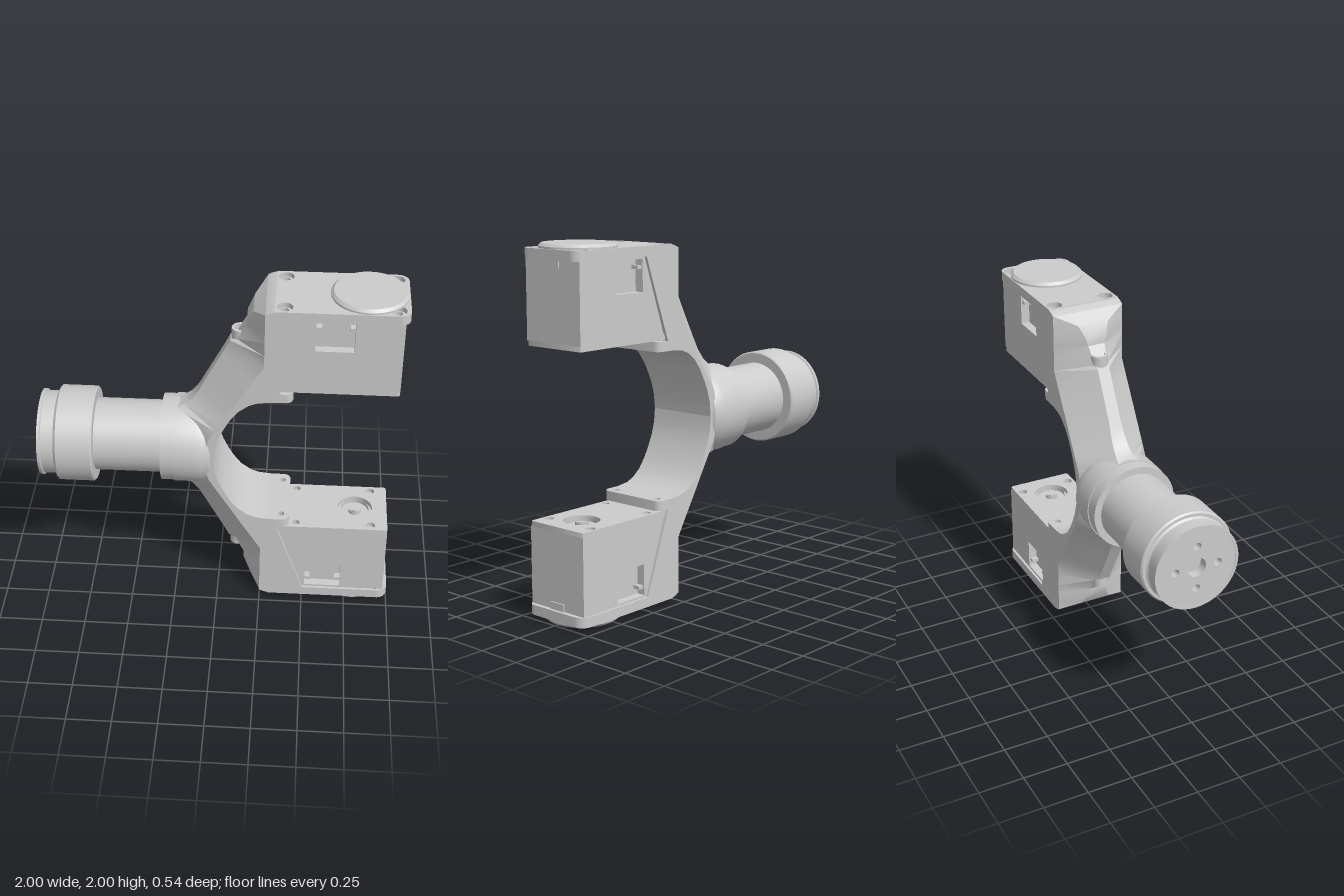
import * as THREE from 'three';
import { toCreasedNormals } from 'three/addons/utils/BufferGeometryUtils.js';

const material = new THREE.MeshStandardMaterial({ color: 0xcccccc });

function mesh(name, geometry, parent, crease = 0.5) {
  const m = new THREE.Mesh(toCreasedNormals(geometry, crease), material);
  m.name = name;
  parent.add(m);
  return m;
}

const outline = (pts) => new THREE.Shape(pts.map(([x, y]) => new THREE.Vector2(x, y)));
const hole = (x, y, r) => new THREE.Path().absarc(x, y, r, 0, Math.PI * 2, true);
const extrude = (shape, depth, z = 0) =>
  new THREE.ExtrudeGeometry(shape, { depth, bevelEnabled: false, curveSegments: 24 }).translate(0, 0, z);

// Flat plate drawn in plan and raised from y0
const plate = (shape, y0, height) => extrude(shape, height).rotateX(-Math.PI / 2).translate(0, y0, 0);

// Plan rectangle with rounded corners on the +x end only
function tongue(x0, x1, hz, r) {
  const s = new THREE.Shape();
  s.moveTo(x0, -hz);
  s.lineTo(x1 - r, -hz);
  s.absarc(x1 - r, -hz + r, r, -Math.PI / 2, 0, false);
  s.absarc(x1 - r, hz - r, r, 0, Math.PI / 2, false);
  s.lineTo(x0, hz);
  s.closePath();
  return s;
}

const lathe = (pts, segments = 64) =>
  new THREE.LatheGeometry(pts.map(([r, y]) => new THREE.Vector2(r, y)), segments);

// Arm stations: ridge x, y, half width | shoulder x, y | inner arch x, y
const stations = [
  [-0.24, 1.0, 0.06, -0.06, 1.0, -0.02, 1.0],
  [-0.24, 1.15, 0.06, -0.06, 1.09, -0.012, 1.08],
  [-0.24, 1.24, 0.06, -0.045, 1.14, 0.008, 1.15],
  [-0.19, 1.262, 0.05, -0.01, 1.2, 0.035, 1.21],
  [-0.15, 1.295, 0.045, 0.02, 1.25, 0.07, 1.275],
  [-0.11, 1.35, 0.04, 0.06, 1.315, 0.115, 1.335],
  [-0.07, 1.43, 0.035, 0.11, 1.4, 0.17, 1.378],
  [0.02, 1.6, 0.035, 0.19, 1.53, 0.22, 1.398],
  [0.06, 1.68, 0.035, 0.25, 1.63, 0.28, 1.405],
  [0.09, 1.697, 0.035, 0.25, 1.7, 0.28, 1.6],
  [0.147, 1.79, 0.05, 0.25, 1.78, 0.28, 1.75],
  [0.15, 1.83, 0.06, 0.25, 1.84, 0.28, 1.84],
  [0.185, 1.9, 0.09, 0.25, 1.9, 0.28, 1.9],
  [0.25, 1.953, 0.205, 0.251, 1.953, 0.28, 1.953],
];

function armGeometry() {
  const pos = [], index = [], n = 6;
  for (const [ox, oy, w, mx, my, ix, iy] of stations) {
    pos.push(ox, oy, w, mx, my, 0.21, ix, iy, 0.21);
    pos.push(ix, iy, -0.21, mx, my, -0.21, ox, oy, -w);
  }
  for (let k = 0; k < stations.length - 1; k++) {
    for (let i = 0; i < n; i++) {
      const a = k * n + i, b = k * n + (i + 1) % n;
      index.push(a, b, b + n, a, b + n, a + n);
    }
  }
  const g = new THREE.BufferGeometry();
  g.setAttribute('position', new THREE.Float32BufferAttribute(pos, 3));
  g.setIndex(index);
  return g;
}

function createMotor() {
  const motor = new THREE.Group();
  motor.name = 'motor';
  const side = () => outline([[0.352, 1.495], [0.975, 1.495], [0.975, 1.92], [0.5, 1.92]]);

  // Body with a recessed window on either side
  mesh('motorCore', extrude(side(), 0.29, -0.145), motor);
  for (const z of [0.145, -0.195]) {
    const skin = side();
    skin.holes.push(new THREE.Path([[0.515, 1.735], [0.515, 1.908], [0.72, 1.908], [0.72, 1.735]]
      .map(([x, y]) => new THREE.Vector2(x, y))));
    mesh('motorSide', extrude(skin, 0.05, z), motor);
    for (const x of [0.53, 0.705]) {
      const clip = mesh('windowClip', new THREE.BoxGeometry(0.03, 0.02, 0.04), motor);
      clip.position.set(x, 1.865, Math.sign(z) * 0.165);
    }
  }

  // Output face with sunken horn and screw sockets
  const face = tongue(0.343, 0.975, 0.195, 0.015);
  face.holes.push(hole(0.79, 0, 0.1));
  for (const z of [-0.155, 0.155]) face.holes.push(hole(0.88, z, 0.026), hole(0.45, z, 0.022));
  mesh('outputFace', plate(face, 1.468, 0.03), motor);
  mesh('outputHorn', lathe([[0.035, 1.5], [0.035, 1.474], [0.055, 1.47], [0.08, 1.474], [0.08, 1.5]].reverse()
    .map(([r, y]) => [r, y - 1.47]), 40).scale(1, 1, 1), motor).position.set(0.79, 1.47, 0);
  mesh('hornScrew', new THREE.CylinderGeometry(0.02, 0.02, 0.02, 6), motor).position.set(0.79, 1.487, 0);

  // Cable port on the outer end
  mesh('cablePort', new THREE.BoxGeometry(0.012, 0.04, 0.1), motor).position.set(0.977, 1.9, 0);
  return motor;
}

function createFinger() {
  const finger = new THREE.Group();
  finger.name = 'finger';

  mesh('arm', armGeometry(), finger, 0.4);

  // Wedge-shaped block between arm and motor
  const block = outline([
    [0.25, 1.403], [0.3, 1.407], [0.32, 1.407], [0.32, 1.462], [0.336, 1.462], [0.5, 1.92],
    [0.3, 1.92], [0.3, 1.972], [0.275, 1.965], [0.25, 1.953],
  ]);
  mesh('armBlock', extrude(block, 0.42, -0.21), finger);

  // Small flange under the motor
  const flange = tongue(0.3, 0.41, 0.21, 0.04);
  for (const z of [-0.155, 0.155]) flange.holes.push(hole(0.365, z, 0.018));
  mesh('flange', plate(flange, 1.407, 0.055), finger);

  // Top plate with countersunk screws
  const top = tongue(0.3, 1, 0.21, 0.06);
  const screws = [[0.35, 0.155], [0.35, -0.155], [0.935, 0.155], [0.935, -0.155]];
  for (const [x, z] of screws) top.holes.push(hole(x, z, 0.042));
  mesh('topPlate', plate(top, 1.92, 0.055), finger);
  for (const [x, z] of screws) {
    mesh('screw', lathe([[0.042, 0], [0.04, 0.03], [0.02, 0.036], [0.02, 0.012], [0, 0.012]], 24), finger)
      .position.set(x, 1.92, z);
  }
  mesh('roundCap', lathe([[0.205, 0], [0.205, 0.01], [0.19, 0.025], [0, 0.025]]), finger)
    .position.set(0.79, 1.975, 0);

  // Cable eyelet on the arm ridge
  mesh('eyelet', lathe([[0.048, -0.08], [0.048, 0], [0.032, 0], [0.032, -0.03], [0, -0.03]], 24), finger)
    .position.set(0.115, 1.745, 0);

  finger.add(createMotor());
  return finger;
}

export function createModel() {
  const model = new THREE.Group();
  model.name = 'gripperFork';

  // Turned handle along the x axis
  const handle = new THREE.Group();
  handle.name = 'handle';
  handle.position.y = 1;
  model.add(handle);
  mesh('stem', lathe([
    [0, -0.94], [0.23, -0.94], [0.23, -1], [0.245, -1], [0.245, -0.985], [0.235, -0.98],
    [0.235, -0.91], [0.245, -0.9], [0.262, -0.9], [0.27, -0.892], [0.27, -0.698], [0.262, -0.69],
    [0.205, -0.69], [0.205, -0.315], [0.245, -0.315], [0.245, -0.24], [0.25, -0.24], [0.25, -0.12],
    [0.243, -0.08], [0.225, -0.045], [0.2, -0.03], [0, -0.025],
  ]).rotateZ(-Math.PI / 2), handle);

  // Drilled end disc
  const disc = new THREE.Shape().absarc(0, 0, 0.232, 0, Math.PI * 2, false);
  disc.holes.push(hole(0, 0, 0.055));
  for (let i = 0; i < 4; i++) {
    const a = (i * Math.PI) / 2;
    disc.holes.push(hole(0.125 * Math.cos(a), 0.125 * Math.sin(a), 0.022));
  }
  mesh('endDisc', extrude(disc, 0.055).rotateY(-Math.PI / 2).translate(-0.942, 0, 0), handle);

  // Two identical fingers, the lower one turned over about the handle axis
  const upper = createFinger();
  const lower = createFinger();
  upper.name = 'upperFinger';
  lower.name = 'lowerFinger';
  lower.rotation.x = Math.PI;
  lower.position.y = 2;
  model.add(upper, lower);
  return model;
}
